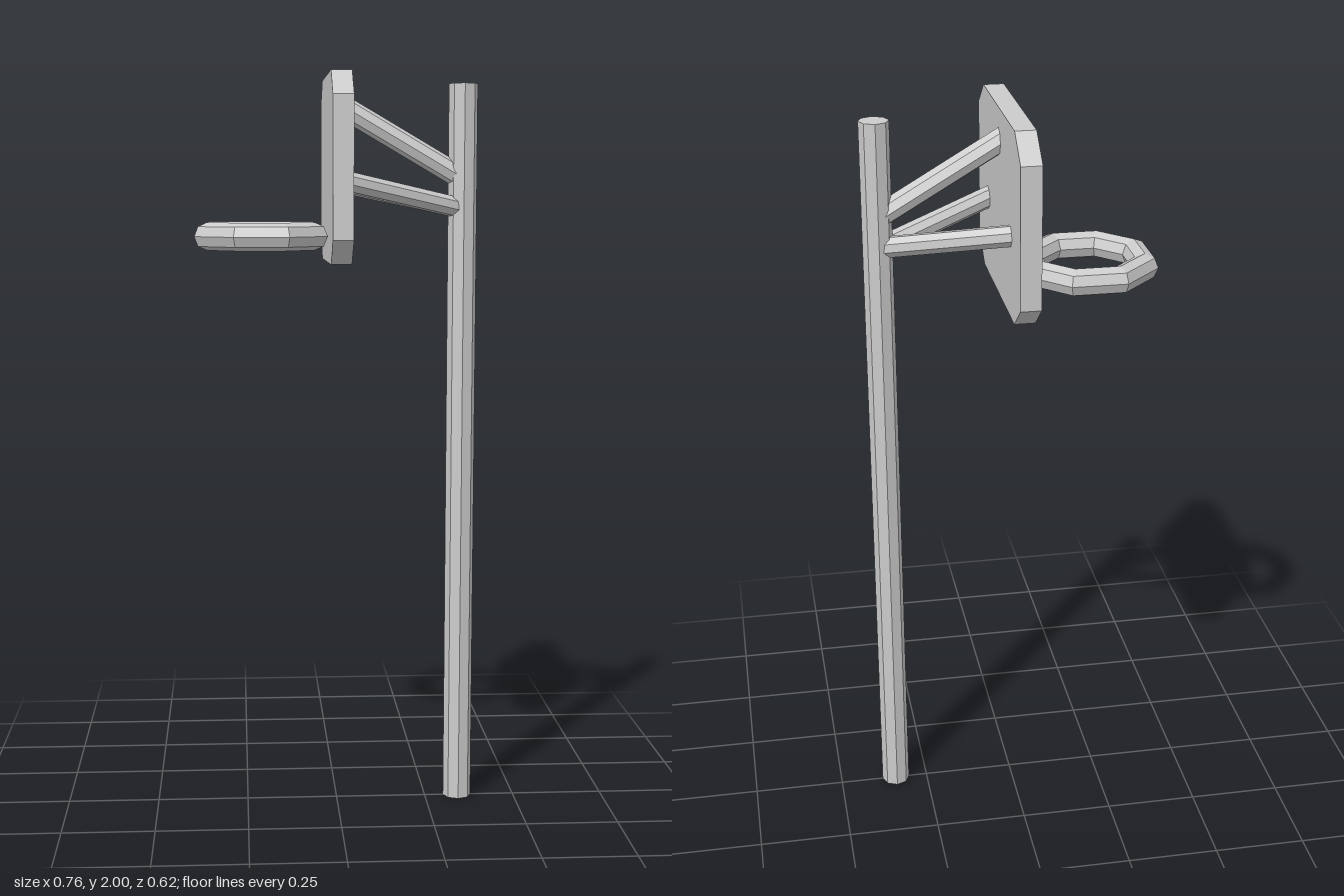
import * as THREE from 'three';

export function createModel() {
  const model = new THREE.Group();
  const material = new THREE.MeshStandardMaterial({ color: 0xcccccc, flatShading: true });

  function add(name, geometry) {
    const mesh = new THREE.Mesh(geometry, material);
    mesh.name = name;
    model.add(mesh);
    return mesh;
  }

  // Eight-sided rod between two points
  function rod(name, from, to, radius) {
    const a = new THREE.Vector3(...from);
    const b = new THREE.Vector3(...to);
    const dir = b.clone().sub(a);
    const mesh = add(name, new THREE.CylinderGeometry(radius, radius, dir.length(), 8));
    mesh.position.copy(a).add(b).multiplyScalar(0.5);
    mesh.quaternion.setFromUnitVectors(new THREE.Vector3(0, 1, 0), dir.normalize());
  }

  // Upright post
  rod('post', [0.341, 0, 0], [0.341, 1.98, 0], 0.039);

  // Backboard with cut corners, extruded along x
  const w = 0.311, h = 0.247, cz = 0.082, cy = 0.064, t = 0.054;
  const outline = new THREE.Shape([
    [-w + cz, -h], [w - cz, -h], [w, -h + cy], [w, h - cy],
    [w - cz, h], [-w + cz, h], [-w, h - cy], [-w, -h + cy],
  ].map(([x, y]) => new THREE.Vector2(x, y)));
  const boardGeometry = new THREE.ExtrudeGeometry(outline, { depth: t, bevelEnabled: false });
  boardGeometry.translate(0, 0, -t / 2).rotateY(Math.PI / 2);
  add('backboard', boardGeometry).position.y = 2 - h;

  // Hoop: octagonal ring with a flat side against the board
  const hoopGeometry = new THREE.TorusGeometry(0.155, 0.037, 8, 8);
  hoopGeometry.rotateZ(Math.PI / 8).rotateX(Math.PI / 2);
  add('hoop', hoopGeometry).position.set(-0.205, 1.575, 0);

  // Struts from the post to the board: one high, two splayed low
  rod('upperStrut', [0.01, 1.922, 0], [0.33, 1.735, 0], 0.031);
  for (const side of [1, -1]) {
    rod(side > 0 ? 'frontLowerStrut' : 'backLowerStrut',
      [0.01, 1.72, 0.172 * side], [0.33, 1.65, 0.003 * side], 0.028);
  }
  return model;
}
